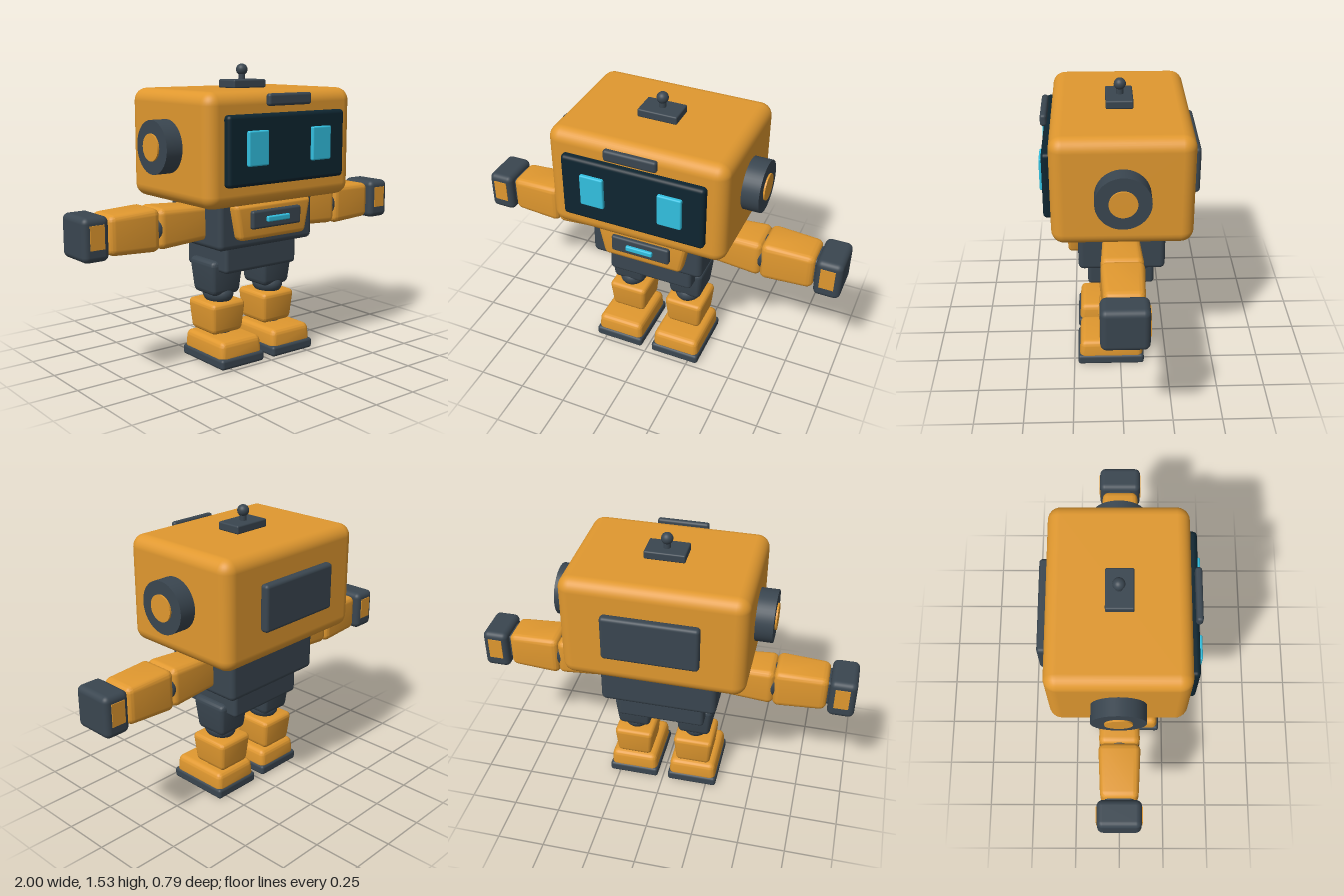
import * as THREE from 'three';
import { RoundedBoxGeometry } from 'three/addons/geometries/RoundedBoxGeometry.js';
import { toCreasedNormals } from 'three/addons/utils/BufferGeometryUtils.js';

function material(name, color) {
  const m = new THREE.MeshStandardMaterial({ color });
  m.name = name;
  return m;
}

export function createModel() {
  const orange = material('orange shell', 0xe0982f);
  const dark = material('dark slate', 0x3a4650);
  const black = material('screen black', 0x0e2530);
  const cyan = material('cyan glow', 0x32c0e0);

  const robot = new THREE.Group();
  robot.name = 'robot';

  function add(parent, name, geometry, mat, x = 0, y = 0, z = 0) {
    const mesh = new THREE.Mesh(geometry, mat);
    mesh.name = name;
    mesh.position.set(x, y, z);
    parent.add(mesh);
    return mesh;
  }

  // Rounded box given by its limits [min, max] on each axis
  function block(parent, name, mat, xs, ys, zs, radius) {
    const geometry = new RoundedBoxGeometry(xs[1] - xs[0], ys[1] - ys[0], zs[1] - zs[0], 4, radius);
    return add(parent, name, geometry, mat,
      (xs[0] + xs[1]) / 2, (ys[0] + ys[1]) / 2, (zs[0] + zs[1]) / 2);
  }

  // Rounded box whose cross-section shrinks to `low` at the low end of an axis and `high` at the other
  function taper(mesh, axis, low, high) {
    const p = mesh.geometry.attributes.position;
    mesh.geometry.computeBoundingBox();
    const { min, max } = mesh.geometry.boundingBox;
    const v = new THREE.Vector3();
    for (let i = 0; i < p.count; i++) {
      v.fromBufferAttribute(p, i);
      const along = v[axis];
      v.multiplyScalar(THREE.MathUtils.mapLinear(along, min[axis], max[axis], low, high));
      v[axis] = along;
      p.setXYZ(i, v.x, v.y, v.z);
    }
    mesh.geometry = toCreasedNormals(mesh.geometry, 0.7);
    return mesh;
  }

  function ball(parent, name, mat, x, y, z, rx, ry, rz) {
    add(parent, name, new THREE.SphereGeometry(1, 28, 18), mat, x, y, z).scale.set(rx, ry, rz);
  }

  // Head with face and back panel
  const head = new THREE.Group();
  head.name = 'head';
  robot.add(head);
  block(head, 'headShell', orange, [-0.466, 0.466], [0.853, 1.413], [-0.35, 0.34], 0.065);
  block(head, 'faceScreen', black, [-0.373, 0.373], [0.96, 1.305], [0.325, 0.377], 0.02);
  block(head, 'browPlate', dark, [-0.137, 0.137], [1.34, 1.4], [0.355, 0.388], 0.014);
  block(head, 'backPanel', dark, [-0.243, 0.243], [1.02, 1.262], [-0.394, -0.345], 0.018);
  for (const s of [-1, 1]) {
    block(head, 'eye', cyan, [s * 0.203 - 0.062, s * 0.203 + 0.062], [1.058, 1.228], [0.368, 0.395], 0.008);
    const ear = add(head, 'ear', new THREE.CylinderGeometry(0.134, 0.134, 0.11, 48), dark, s * 0.501, 1.137, -0.004);
    const cap = add(head, 'earCap', new THREE.CylinderGeometry(0.068, 0.068, 0.11, 36), orange, s * 0.51, 1.137, -0.004);
    ear.rotation.z = cap.rotation.z = Math.PI / 2;
  }

  // Antenna
  block(head, 'antennaBase', dark, [-0.104, 0.104], [1.412, 1.455], [-0.068, 0.068], 0.008);
  add(head, 'antennaStem', new THREE.CylinderGeometry(0.018, 0.018, 0.06, 20), dark, 0, 1.475, -0.004);
  ball(head, 'antennaTip', dark, 0, 1.505, -0.004, 0.03, 0.03, 0.03);

  // Torso
  const torso = new THREE.Group();
  torso.name = 'torso';
  robot.add(torso);
  block(torso, 'chest', dark, [-0.307, 0.307], [0.615, 0.87], [-0.226, 0.215], 0.028);
  taper(block(torso, 'chestPlate', orange, [-0.25, 0.25], [0.665, 0.853], [0.19, 0.272], 0.025), 'y', 0.85, 1);
  block(torso, 'chestPanel', dark, [-0.159, 0.159], [0.724, 0.817], [0.255, 0.292], 0.012);
  block(torso, 'chestLight', cyan, [-0.073, 0.073], [0.756, 0.785], [0.28, 0.307], 0.007);
  block(torso, 'pelvis', dark, [-0.235, 0.235], [0.48, 0.64], [-0.175, 0.168], 0.02);

  // Arms, built toward +x and turned about for the other side
  for (const side of ['left', 'right']) {
    const arm = new THREE.Group();
    arm.name = side + 'Arm';
    if (side === 'right') arm.rotation.y = Math.PI;
    robot.add(arm);
    taper(block(arm, 'upperArm', orange, [0.26, 0.583], [0.642, 0.85], [-0.105, 0.105], 0.035), 'x', 0.84, 1);
    ball(arm, 'elbow', dark, 0.572, 0.746, 0, 0.055, 0.09, 0.1);
    taper(block(arm, 'forearm', orange, [0.578, 0.855], [0.637, 0.855], [-0.107, 0.107], 0.035), 'x', 1, 0.89);
    block(arm, 'wrist', dark, [0.83, 0.885], [0.675, 0.82], [-0.07, 0.07], 0.02);
    block(arm, 'hand', dark, [0.862, 1], [0.637, 0.852], [-0.112, 0.112], 0.03);
    for (const z of [-0.112, 0.112]) {
      add(arm, 'handPanel', new THREE.BoxGeometry(0.075, 0.116, 0.008), orange, 0.93, 0.757, z);
    }
  }

  // Legs
  for (const s of [-1, 1]) {
    const leg = new THREE.Group();
    leg.name = s > 0 ? 'leftLeg' : 'rightLeg';
    leg.position.x = s * 0.168;
    robot.add(leg);
    taper(block(leg, 'thigh', dark, [-0.105, 0.105], [0.347, 0.537], [-0.116, 0.108], 0.03), 'y', 0.82, 1);
    ball(leg, 'knee', dark, 0, 0.345, 0.007, 0.075, 0.06, 0.093);
    taper(block(leg, 'shin', orange, [-0.11, 0.11], [0.143, 0.312], [-0.122, 0.115], 0.028), 'y', 0.86, 1);
    ball(leg, 'ankle', dark, 0, 0.142, 0, 0.07, 0.04, 0.08);
    taper(block(leg, 'foot', orange, [-0.133, 0.133], [0.03, 0.14], [-0.122, 0.222], 0.03), 'y', 1, 0.95);
    block(leg, 'sole', dark, [-0.138, 0.138], [0, 0.056], [-0.127, 0.23], 0.016);
  }

  return robot;
}
